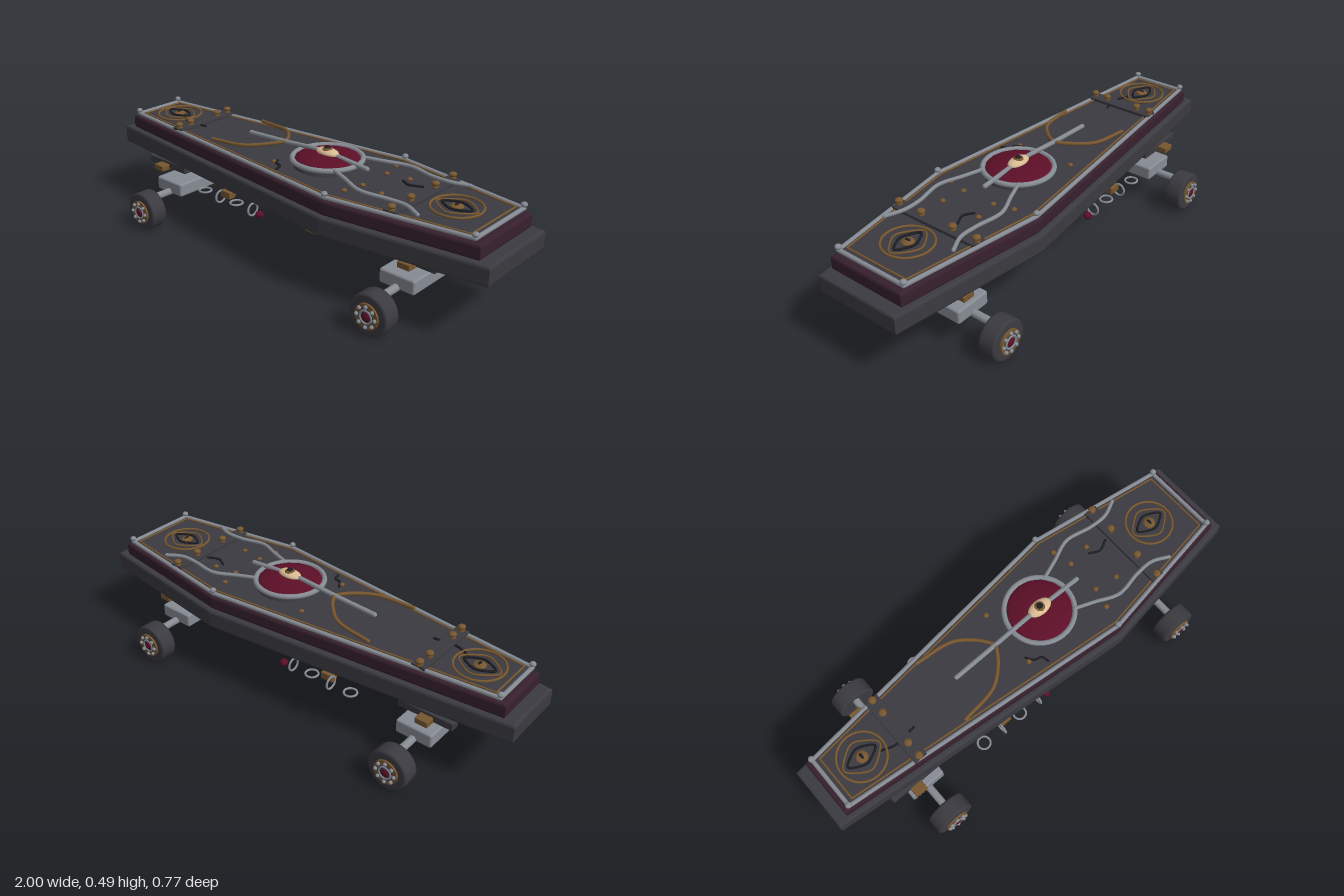
import * as THREE from 'three';
import { RoundedBoxGeometry } from 'three/addons/geometries/RoundedBoxGeometry.js';

const paint = (name, color) => Object.assign(new THREE.MeshStandardMaterial({ color }), { name });

export function createModel() {
  const dark = paint('charcoal', 0x3b3a40);
  const plum = paint('plum', 0x36202d);
  const crimson = paint('crimson', 0x5c0f27);
  const steel = paint('steel', 0x868b93);
  const bronze = paint('bronze', 0x765630);
  const bone = paint('bone', 0xd9bb93);
  const black = paint('black', 0x1d1c22);

  const root = new THREE.Group();
  const add = (name, geo, mat, x = 0, y = 0, z = 0, parent = root) => {
    const m = new THREE.Mesh(geo, mat);
    m.name = name;
    m.position.set(x, y, z);
    parent.add(m);
    return m;
  };
  const box = (name, mat, w, h, d, x, y, z) =>
    add(name, new RoundedBoxGeometry(w, h, d, 2, Math.min(w, h, d) * 0.15), mat, x, y, z);
  const dome = (name, mat, r, x, y, z, sy = 0.7, sx = 1, sz = 1) =>
    add(name, new THREE.SphereGeometry(r, 16, 10), mat, x, y, z).scale.set(sx, sy, sz);
  const ring = (name, mat, r, t, x, y, z) => {
    const m = add(name, new THREE.TorusGeometry(r, t, 10, 40), mat, x, y, z);
    m.rotation.x = Math.PI / 2;
    return m;
  };
  const tube = (name, mat, pts, r, closed = false) => {
    const curve = new THREE.CatmullRomCurve3(pts.map(p => new THREE.Vector3(...p)), closed, 'centripetal');
    add(name, new THREE.TubeGeometry(curve, pts.length * 10, r, 8, closed), mat);
    // rounded tips
    if (!closed) for (const p of [pts[0], pts[pts.length - 1]]) dome(name + 'Tip', mat, r, ...p, 1);
  };

  // Six-sided tapered outline: half length and half widths at the ends and shoulder
  const outline = (L, a, b, c, s = 0.33) =>
    [[-L, -a], [s, -b], [L, -c], [L, c], [s, b], [-L, a]];
  const slab = (name, mat, pts, y0, y1, bevel) => {
    const shape = new THREE.Shape(pts.map(p => new THREE.Vector2(...p)));
    const geo = new THREE.ExtrudeGeometry(shape, {
      depth: y1 - y0 - 2 * bevel, bevelEnabled: true, bevelThickness: bevel,
      bevelSize: bevel, bevelOffset: -bevel, bevelSegments: 2, steps: 1,
    });
    geo.rotateX(-Math.PI / 2);
    add(name, geo, mat, 0, y0 + bevel, 0);
  };
  const rail = (name, mat, pts, y, r) => {
    const path = new THREE.CurvePath();
    pts.forEach((p, i) => {
      const q = pts[(i + 1) % pts.length];
      path.add(new THREE.LineCurve3(new THREE.Vector3(p[0], y, p[1]), new THREE.Vector3(q[0], y, q[1])));
    });
    path.curves.forEach(c => add(name, new THREE.TubeGeometry(c, 1, r, 8), mat));
    pts.forEach(p => dome(name + 'Joint', mat, r, p[0], y, p[1], 1));
  };

  // Deck and lid
  slab('deck', dark, outline(1, 0.14, 0.28, 0.188), 0.262, 0.342, 0.01);
  slab('lidBody', plum, outline(0.95, 0.125, 0.26, 0.172), 0.34, 0.4, 0.01);
  slab('lidTop', dark, outline(0.91, 0.112, 0.246, 0.155), 0.398, 0.414, 0.003);
  slab('underPlate', dark, outline(0.62, 0.12, 0.2, 0.15, 0.3), 0.246, 0.266, 0.004);
  const edge = outline(0.92, 0.115, 0.25, 0.16);
  rail('edgeRail', steel, edge, 0.413, 0.009);
  rail('bronzeInlay', bronze, outline(0.895, 0.1, 0.232, 0.145), 0.416, 0.004);
  edge.forEach(([x, z]) => dome('cornerKnob', steel, 0.013, x, 0.428, z, 0.8));

  // Cross straps with bolts
  for (const [x, w] of [[-0.605, 0.155], [0.595, 0.205]]) {
    box('strap', dark, 0.058, 0.014, w * 2, x, 0.42, 0);
    for (const z of [-w + 0.012, -0.078, 0.078, w - 0.012]) {
      add('boltBase', new THREE.CylinderGeometry(0.012, 0.014, 0.016, 12), bronze, x, 0.432, z);
      dome('boltHead', bronze, 0.016, x, 0.442, z, 0.6);
    }
  }

  // Eye emblems at both ends
  const lens = (name, mat, x, a, b, y, r) => tube(name, mat,
    [[-a, 0], [-a * 0.5, -b * 0.7], [0, -b], [a * 0.5, -b * 0.7], [a, 0], [a * 0.5, b * 0.7], [0, b], [-a * 0.5, b * 0.7]]
      .map(([u, v]) => [x + u, y, v]), r, true);
  for (const x of [-0.77, 0.742]) {
    ring('emblemRing', bronze, 0.098, 0.005, x, 0.42, 0);
    lens('emblemEyelid', black, x, 0.065, 0.036, 0.423, 0.005);
    lens('emblemInner', bronze, x, 0.085, 0.065, 0.42, 0.004);
    dome('emblemIris', bronze, 0.026, x, 0.42, 0, 0.4);
    dome('emblemPupil', black, 0.014, x, 0.427, 0, 0.5, 0.5, 1);
  }

  // Central medallion
  const cx = 0.13;
  add('medallionBase', new THREE.CylinderGeometry(0.13, 0.14, 0.03, 40), dark, cx, 0.425, 0);
  dome('medallionDome', crimson, 0.138, cx, 0.436, 0, 0.2);
  ring('medallionRing', steel, 0.142, 0.011, cx, 0.442, 0);
  tube('spine', steel, [[-0.3, 0.442, 0], [-0.1, 0.452, 0], [0.1, 0.464, 0], [0.33, 0.448, 0]], 0.01);
  dome('medallionEye', bone, 0.055, cx, 0.465, 0, 0.32, 1, 0.58);
  dome('medallionIris', bronze, 0.022, cx, 0.478, 0, 0.4);
  dome('medallionPupil', black, 0.014, cx, 0.483, 0, 0.6);

  // Mirrored lid ornaments
  for (const s of [-1, 1]) {
    tube('bronzeWing', bronze, [[-0.38, 0.433, s * 0.15], [-0.22, 0.44, s * 0.125], [-0.14, 0.448, s * 0.06], [-0.1, 0.452, 0]], 0.008);
    tube('steelVine', steel, [[0.24, 0.447, s * 0.09], [0.32, 0.443, s * 0.12], [0.42, 0.438, s * 0.158], [0.54, 0.434, s * 0.14], [0.62, 0.434, s * 0.14], [0.69, 0.43, s * 0.17]], 0.008);
    for (const [x, z] of [[0.37, 0.075], [0.47, 0.09], [-0.04, 0.13], [0.35, 0.16]])
      dome('stud', bronze, 0.011, x, 0.418, s * z, 0.7);
  }
  tube('thorn', black, [[-0.04, 0.418, 0.11], [-0.02, 0.42, 0.14], [0.01, 0.42, 0.15], [0.02, 0.418, 0.18]], 0.005);
  tube('thorn', black, [[0.46, 0.418, -0.06], [0.5, 0.42, -0.04], [0.55, 0.42, -0.06]], 0.005);
  tube('thorn', black, [[-0.7, 0.418, 0.03], [-0.64, 0.42, 0.05], [-0.55, 0.42, 0.04]], 0.005);

  // Underside crossbars and disc
  for (const x of [-0.24, 0.235]) {
    box('crossbar', bronze, 0.042, 0.022, 0.4, x, 0.24, 0);
    for (const s of [-1, 1]) box('crossbarEnd', bronze, 0.055, 0.032, 0.035, x, 0.24, s * 0.205);
  }
  add('underDisc', new THREE.CylinderGeometry(0.105, 0.095, 0.035, 32), crimson, 0.01, 0.23, 0);
  ring('underRing', steel, 0.102, 0.009, 0.01, 0.21, 0);

  // Side chains with a bead
  for (const s of [-1, 1]) {
    for (let i = 0; i < 4; i++) {
      const link = ring('chainLink', steel, 0.026, 0.0045, -0.36 + i * 0.095, 0.227, s * 0.224);
      if (i % 2) link.rotation.set(0, Math.PI / 2, 0);
    }
    dome('chainBead', crimson, 0.017, -0.03, 0.22, s * 0.23, 0.9);
  }

  // Trucks
  for (const e of [-1, 1]) {
    const x = e * 0.635;
    box('truckPlate', dark, 0.24, 0.036, 0.2, e * 0.665, 0.247, 0);
    box('truckBar', bronze, 0.055, 0.026, 0.44, e * 0.675, 0.24, 0);
    for (const s of [-1, 1]) box('truckRail', dark, 0.24, 0.034, 0.04, e * 0.665, 0.248, s * 0.16);
    add('kingpin', new THREE.CylinderGeometry(0.037, 0.037, 0.06, 24), crimson, e * 0.678, 0.205, 0);
    box('hanger', steel, 0.16, 0.06, 0.4, x, 0.153, 0);
    add('axle', new THREE.CylinderGeometry(0.016, 0.016, 0.66, 16), steel, x, 0.13, 0).rotation.x = Math.PI / 2;

    // Wheels, built along +z and turned for the far side
    for (const s of [-1, 1]) {
      const wheel = new THREE.Group();
      wheel.name = 'wheel';
      wheel.position.set(x, 0.085, 0);
      wheel.rotation.y = s < 0 ? Math.PI : 0;
      root.add(wheel);
      const profile = [[0, 0.29], [0.075, 0.29], [0.083, 0.293], [0.085, 0.3], [0.085, 0.355], [0.083, 0.362], [0.075, 0.365], [0, 0.365]];
      const tyre = new THREE.LatheGeometry(profile.map(p => new THREE.Vector2(...p)), 40);
      add('tyre', tyre.rotateX(Math.PI / 2), dark, 0, 0, 0, wheel);
      const disc = (name, mat, r, z, h) =>
        add(name, new THREE.CylinderGeometry(r, r, h, 28).rotateX(Math.PI / 2), mat, 0, 0, z, wheel);
      disc('hubPlate', bronze, 0.052, 0.367, 0.012);
      disc('hubFace', dark, 0.034, 0.371, 0.008);
      add('hubRing', new THREE.TorusGeometry(0.026, 0.005, 8, 28), steel, 0, 0, 0.374, wheel);
      add('hubCap', new THREE.SphereGeometry(0.02, 16, 10), crimson, 0, 0, 0.37, wheel).scale.z = 0.6;
      for (let i = 0; i < 8; i++) {
        const a = i * Math.PI / 4;
        add('hubBolt', new THREE.SphereGeometry(0.008, 10, 8), steel, Math.cos(a) * 0.041, Math.sin(a) * 0.041, 0.376, wheel);
      }
    }
  }
  return root;
}
